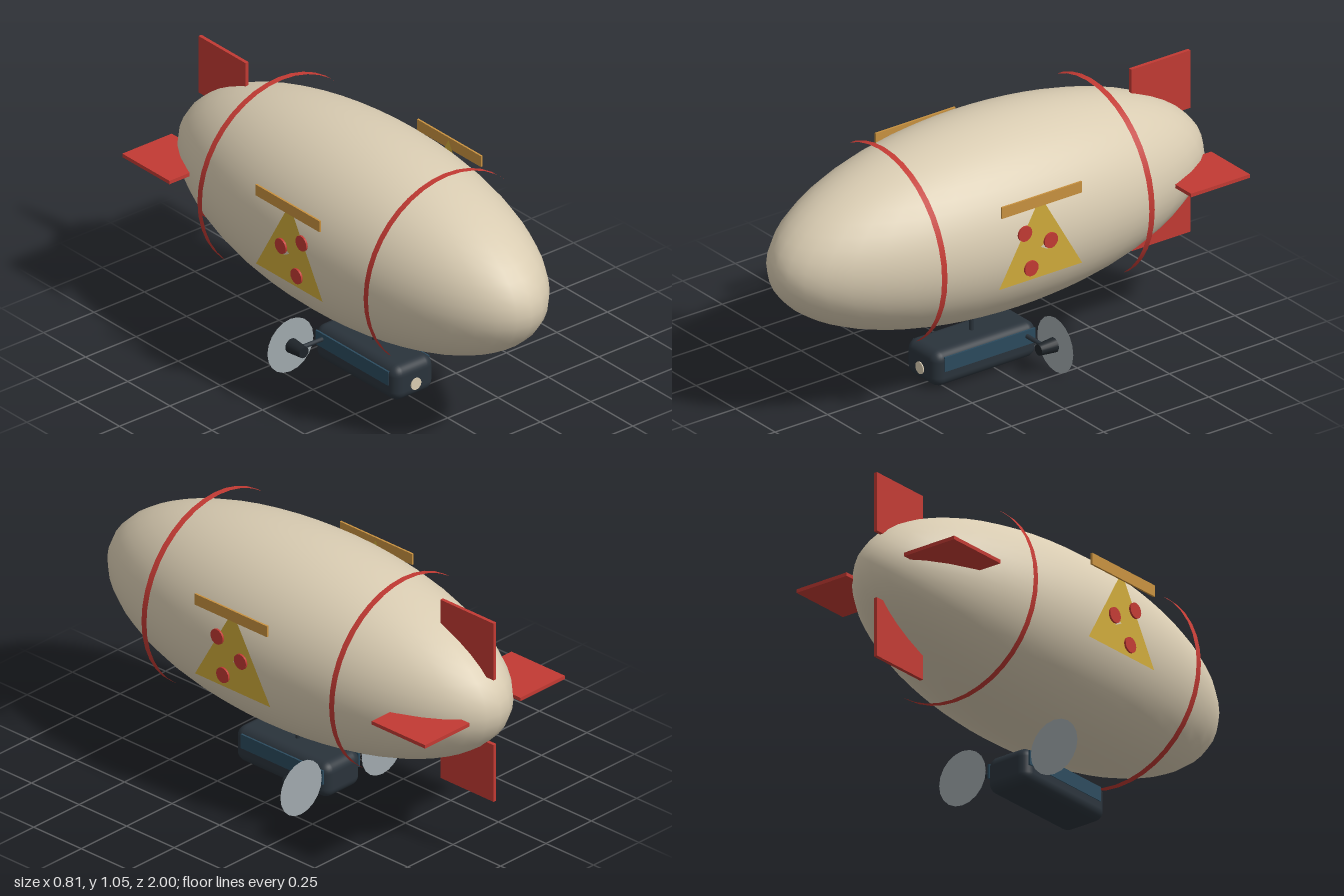
import * as THREE from 'three';
import { RoundedBoxGeometry } from 'three/addons/geometries/RoundedBoxGeometry.js';

const mat = (name, color, side = THREE.FrontSide) => {
  const m = new THREE.MeshStandardMaterial({ color, side });
  m.name = name;
  return m;
};

export function createModel() {
  const cream = mat('cream', 0xd9ccb2);
  const red = mat('red', 0xc23a33);
  const crustTan = mat('crust tan', 0xc8913f);
  const cheese = mat('cheese yellow', 0xcfaa3a, THREE.DoubleSide);
  const slate = mat('dark slate', 0x2a333b);
  const black = mat('engine black', 0x1e2429);
  const glass = mat('window blue', 0x2b4a5d);
  const grey = mat('propeller grey', 0xa0a9ad, THREE.DoubleSide);

  const model = new THREE.Group();
  model.name = 'airship';
  const add = (name, geometry, material, x = 0, y = 0, z = 0) => {
    const mesh = new THREE.Mesh(geometry, material);
    mesh.name = name;
    mesh.position.set(x, y, z);
    model.add(mesh);
    return mesh;
  };
  const AXIS = 0.655; // height of the hull axis

  // Hull
  add('hull', new THREE.SphereGeometry(1, 40, 28).scale(0.395, 0.395, 1), cream, 0, AXIS, 0);

  // Thin hoops, outer surface only
  const hoop = new THREE.CylinderGeometry(0.4, 0.4, 0.026, 40, 1, true).rotateX(Math.PI / 2);
  for (const z of [0.493, -0.493]) add('hoop', hoop, red, 0, AXIS, z);

  // Four tail fins
  const fin = new THREE.BoxGeometry(0.245, 0.015, 0.28);
  for (let i = 0; i < 4; i++) {
    const a = (i * Math.PI) / 2;
    add('tailFin', fin, red, Math.cos(a) * 0.2625, AXIS + Math.sin(a) * 0.2625, -0.83).rotation.z = a;
  }

  // Gondola, hanging strut and headlight
  add('gondola', new RoundedBoxGeometry(0.2, 0.15, 0.49, 4, 0.042), slate, 0, 0.085, 0.065);
  add('strut', new THREE.CylinderGeometry(0.01, 0.01, 0.14, 12), slate, 0, 0.21, 0.065);
  add('headlight', new THREE.CylinderGeometry(0.025, 0.025, 0.008, 20).rotateX(Math.PI / 2),
    cream, 0, 0.07, 0.31);

  // Pizza slice outline, x running along the hull
  const slice = new THREE.Shape([[-0.23, 0.53], [0.165, 0.53], [-0.033, 0.87]]
    .map(([x, y]) => new THREE.Vector2(x, y)));
  const sliceGeo = new THREE.ShapeGeometry(slice).rotateY(Math.PI / 2);
  const pepperoni = new THREE.CylinderGeometry(0.032, 0.032, 0.008, 16).rotateZ(Math.PI / 2);

  for (const s of [1, -1]) {
    // Side window
    add('window', new THREE.BoxGeometry(0.008, 0.06, 0.43), glass, s * 0.099, 0.109, 0.053);

    // Painted slice with crust and toppings
    add('pizzaSlice', sliceGeo, cheese, s * 0.394, 0, 0);
    add('crust', new THREE.BoxGeometry(0.008, 0.047, 0.38), crustTan, s * 0.4, 0.857, 0.033);
    for (const [y, z] of [[0.735, 0.11], [0.672, -0.013], [0.58, 0.08]])
      add('pepperoni', pepperoni, red, s * 0.398, y, z);

    // Engine on its arm, with propeller disc behind
    add('engineArm', new THREE.CylinderGeometry(0.009, 0.009, 0.14, 12).rotateZ(Math.PI / 2),
      slate, s * 0.155, 0.116, -0.122);
    add('engine', new THREE.CylinderGeometry(0.023, 0.03, 0.075, 18).rotateX(Math.PI / 2),
      black, s * 0.224, 0.116, -0.122);
    add('propellerDisc', new THREE.CircleGeometry(0.114, 20), grey, s * 0.224, 0.115, -0.165);
  }
  return model;
}
